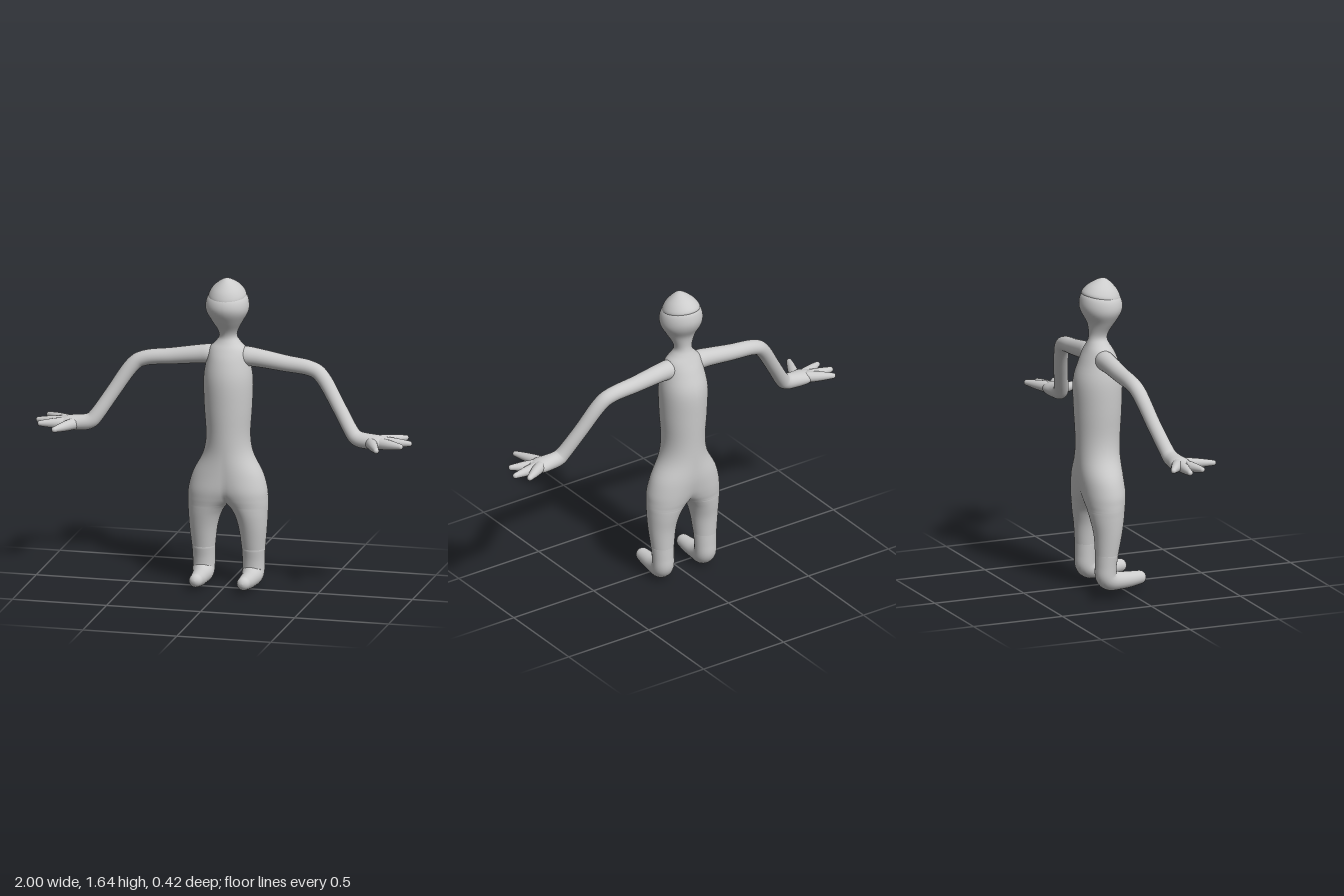
import * as THREE from 'three';
import { mergeVertices, mergeGeometries } from 'three/addons/utils/BufferGeometryUtils.js';

const clay = new THREE.MeshStandardMaterial({ color: 0xcccccc, side: THREE.DoubleSide });
clay.name = 'clay grey';

// Smooth interpolation of rows of numbers, n steps per span
function smoothRows(rows, n) {
  const at = i => rows[Math.min(rows.length - 1, Math.max(0, i))];
  const out = [];
  for (let i = 0; i < rows.length - 1; i++) {
    for (let s = 0; s < n; s++) {
      const t = s / n;
      out.push(rows[i].map((b, k) => {
        const a = at(i - 1)[k], c = at(i + 1)[k], d = at(i + 2)[k];
        return b + 0.5 * t * (c - a + t * (2 * a - 5 * b + 4 * c - d + t * (3 * (b - c) + d - a)));
      }));
    }
  }
  out.push(rows[rows.length - 1]);
  return out;
}

function geometryFrom(pos, idx) {
  const g = new THREE.BufferGeometry();
  g.setAttribute('position', new THREE.Float32BufferAttribute(pos, 3));
  g.setIndex(idx);
  return g;
}

// Round-ended limb through rows [x, y, z, radius along ref, other radius]
function limb(rows, ref, n = 6, sides = 24) {
  const r = smoothRows(rows.map(p => [p[0], p[1], p[2], p[3], p[4] ?? p[3]]), n);
  const P = r.map(p => new THREE.Vector3(p[0], p[1], p[2]));
  const rings = [];
  const last = r.length - 1;
  const add = (i, shift, k) => {
    const t = P[Math.min(last, i + 1)].clone().sub(P[Math.max(0, i - 1)]).normalize();
    const u = ref.clone().addScaledVector(t, -ref.dot(t)).normalize();
    const v = t.clone().cross(u);
    rings.push({ c: P[i].clone().addScaledVector(t, shift), u, v, a: r[i][3] * k, b: r[i][4] * k });
  };
  const cap = 6;
  const capR = i => Math.min(r[i][3], r[i][4]);
  for (let k = cap; k > 0; k--) {
    const a = k / cap * Math.PI / 2;
    add(0, -Math.sin(a) * capR(0), Math.cos(a));
  }
  for (let i = 0; i <= last; i++) add(i, 0, 1);
  for (let k = 1; k <= cap; k++) {
    const a = k / cap * Math.PI / 2;
    add(last, Math.sin(a) * capR(last), Math.cos(a));
  }
  const pos = [], idx = [];
  rings.forEach((g, i) => {
    for (let j = 0; j < sides; j++) {
      const a = j / sides * Math.PI * 2;
      const p = g.c.clone().addScaledVector(g.u, Math.cos(a) * g.a).addScaledVector(g.v, Math.sin(a) * g.b);
      pos.push(p.x, p.y, p.z);
      if (i) {
        const k = (j + 1) % sides, A = (i - 1) * sides, B = i * sides;
        idx.push(A + j, A + k, B + k, A + j, B + k, B + j);
      }
    }
  });
  const geo = geometryFrom(pos, idx);
  geo.computeVertexNormals();
  return geo;
}

// Head, torso and legs as one skin: [y, front z, back z, outer x, lobe axis x, inner x]
// Where inner x is negative the two lobes merge on the centre plane.
const bodyRows = [
  [1.588, -0.09, -0.09, 0, 0, 0],
  [1.58, -0.06, -0.14, 0.04, 0, -0.04],
  [1.565, -0.005, -0.166, 0.078, 0, -0.078],
  [1.54, 0.032, -0.177, 0.103, 0, -0.103],
  [1.5, 0.046, -0.18, 0.113, 0, -0.113],
  [1.46, 0.038, -0.168, 0.108, 0, -0.108],
  [1.41, 0.008, -0.14, 0.08, 0, -0.08],
  [1.36, -0.025, -0.131, 0.053, 0, -0.053],
  [1.325, -0.035, -0.133, 0.047, 0, -0.047],
  [1.295, -0.025, -0.143, 0.066, 0, -0.066],
  [1.26, -0.004, -0.158, 0.097, 0, -0.097],
  [1.2, 0.022, -0.183, 0.112, 0, -0.112],
  [1.1, 0.042, -0.213, 0.128, 0, -0.128],
  [0.95, 0.04, -0.21, 0.124, 0, -0.124],
  [0.8, 0.032, -0.202, 0.115, 0, -0.115],
  [0.7, 0.028, -0.2, 0.132, 0.006, -0.126],
  [0.6, 0.028, -0.2, 0.184, 0.035, -0.14],
  [0.52, 0.028, -0.193, 0.207, 0.068, -0.105],
  [0.47, 0.021, -0.186, 0.211, 0.088, -0.05],
  [0.445, 0.016, -0.181, 0.212, 0.097, -0.018],
  [0.43, 0.013, -0.179, 0.212, 0.102, 0],
  [0.41, 0.01, -0.176, 0.211, 0.109, 0.018],
  [0.37, 0.003, -0.169, 0.209, 0.12, 0.04],
  [0.3, -0.011, -0.157, 0.204, 0.13, 0.059],
  [0.2, -0.031, -0.151, 0.194, 0.1325, 0.071],
];

function bodyHalf(side) {
  const m = 36;
  const pos = [], idx = [];
  smoothRows(bodyRows, 4).forEach(([y, zf, zb, xo, cx, xi], i) => {
    // the arc runs past the half turn until it meets the centre plane or closes
    const inner = cx - xi;
    const over = inner > 0 ? Math.asin(Math.min(1, Math.max(0, cx / inner))) : 0;
    for (let j = 0; j <= m; j++) {
      const t = -over + j / m * (Math.PI + 2 * over), s = Math.sin(t);
      const x = cx + s * (s > 0 ? xo - cx : inner);
      const onCentre = xi <= 0 && j % m === 0;
      pos.push(onCentre ? 0 : side * Math.max(0, x), y, (zf + zb) / 2 + (zf - zb) / 2 * Math.cos(t));
      if (i && j < m) {
        const a = (i - 1) * (m + 1) + j, b = a + m + 1;
        if (side > 0) idx.push(a, b, b + 1, a, b + 1, a + 1);
        else idx.push(a, b + 1, b, a, a + 1, b + 1);
      }
    }
  });
  return geometryFrom(pos, idx);
}

export function createModel() {
  const model = new THREE.Group();
  model.name = 'figure';
  const add = (name, geo, parent = model) => {
    const mesh = new THREE.Mesh(geo, clay);
    mesh.name = name;
    parent.add(mesh);
    return mesh;
  };

  const body = mergeVertices(mergeGeometries([bodyHalf(1), bodyHalf(-1)]), 1e-4);
  body.computeVertexNormals();
  add('body', body);

  // Pointed cap, tilted towards the front
  const capProfile = smoothRows([[0.09, -0.012], [0.098, 0], [0.094, 0.018], [0.077, 0.045],
    [0.053, 0.068], [0.03, 0.085], [0.013, 0.094], [0, 0.096]], 3)
    .map(p => new THREE.Vector2(Math.max(0, p[0]), p[1]));
  const cap = add('cap', new THREE.LatheGeometry(capProfile, 40));
  cap.position.set(0, 1.545, -0.067);
  cap.rotation.x = 0.2;
  cap.scale.z = 1.06;

  const X = new THREE.Vector3(1, 0, 0), Y = new THREE.Vector3(0, 1, 0), Z = new THREE.Vector3(0, 0, 1);
  for (const [label, s] of [['left', 1], ['right', -1]]) {
    const flip = rows => rows.map(([x, ...rest]) => [s * x, ...rest]);

    // Ankle, heel and foot
    add(label + 'Foot', limb(flip([
      [0.1325, 0.2, -0.091, 0.0615, 0.06], [0.132, 0.14, -0.096, 0.059, 0.056],
      [0.132, 0.085, -0.095, 0.058, 0.056], [0.131, 0.06, -0.07, 0.056, 0.055],
      [0.13, 0.052, -0.02, 0.047], [0.128, 0.052, 0.04, 0.042], [0.127, 0.056, 0.094, 0.036]]), X));

    // Arm running into a thick palm
    const arm = new THREE.Group();
    arm.name = label + 'Arm';
    model.add(arm);
    add(label + 'ArmAndPalm', limb(flip([
      [0.03, 1.215, -0.085, 0.04], [0.09, 1.222, -0.085, 0.051], [0.16, 1.217, -0.085, 0.048],
      [0.3, 1.198, -0.083, 0.043], [0.44, 1.18, -0.078, 0.04], [0.51, 1.135, -0.065, 0.039],
      [0.6, 1.0, -0.03, 0.037], [0.675, 0.885, 0.005, 0.038], [0.71, 0.85, 0.015, 0.041],
      [0.76, 0.84, 0.02, 0.046, 0.041], [0.82, 0.838, 0.022, 0.056, 0.037],
      [0.86, 0.838, 0.02, 0.046, 0.027]]), Z), arm);

    // Tapered thumb and fingers: base and tip
    const digits = [
      ['Thumb', [0.79, 0.836, 0.045], [0.856, 0.838, 0.193]],
      ['IndexFinger', [0.84, 0.836, 0.042], [0.957, 0.838, 0.086]],
      ['MiddleFinger', [0.85, 0.838, 0.015], [0.985, 0.836, 0.006]],
      ['LittleFinger', [0.84, 0.842, 0], [0.948, 0.846, -0.07]],
    ];
    for (const [name, a, b] of digits) {
      const mid = a.map((v, i) => (v + b[i]) / 2);
      add(label + name, limb(flip([[...a, 0.031], [...mid, 0.025], [...b, 0.015]]), Y, 4, 14), arm);
    }
  }
  return model;
}
